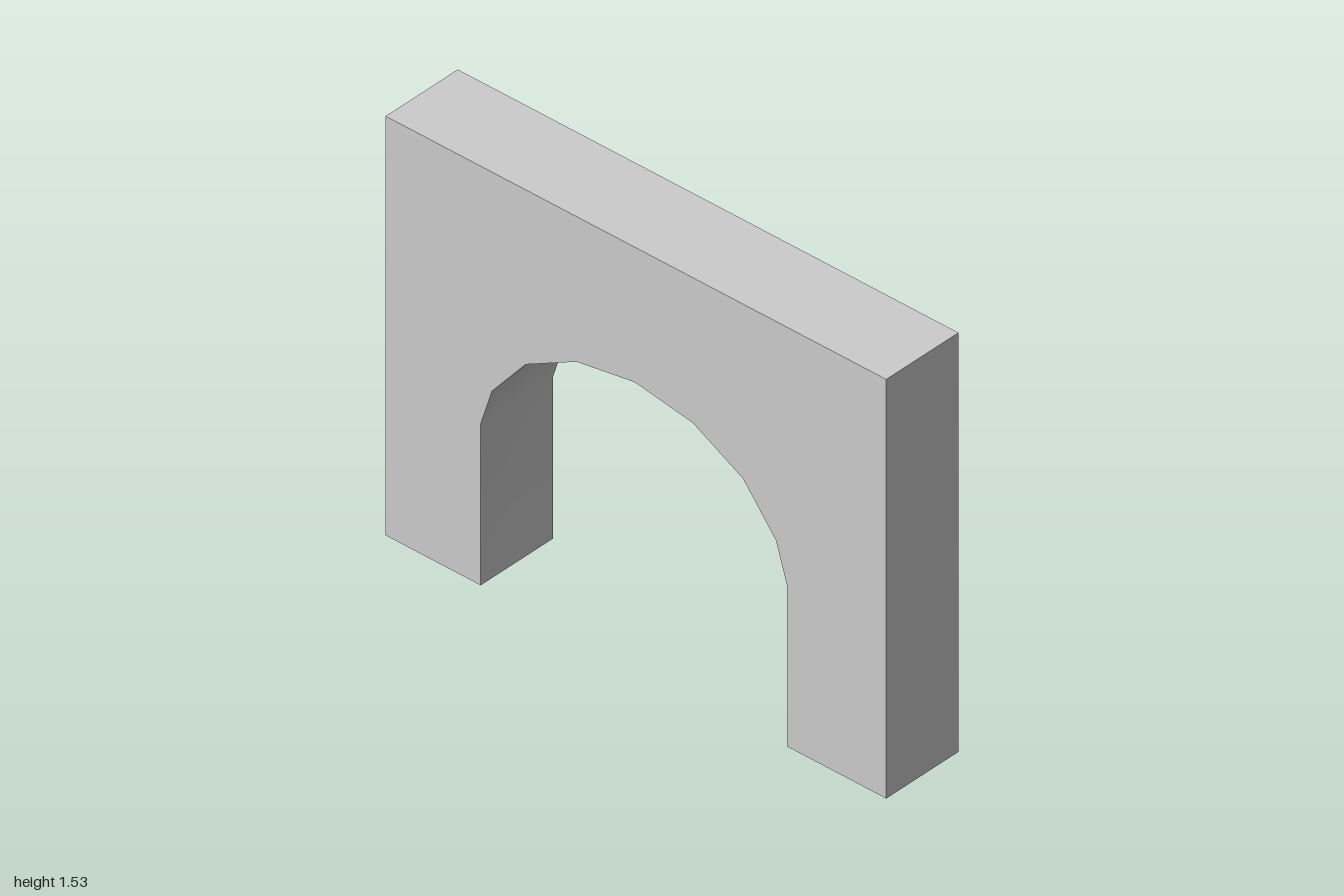
import * as THREE from 'three';
import { toCreasedNormals } from 'three/addons/utils/BufferGeometryUtils.js';

const HEIGHT = 1.53;
const DEPTH = 0.32;

export function createModel() {
  const group = new THREE.Group();
  group.name = 'archway';

  // Faceted arch opening, from the left foot over the crown to the right foot
  const opening = [
    [-0.62, 0], [-0.62, 0.59], [-0.575, 0.73], [-0.44, 0.893], [-0.237, 1.0],
    [-0.005, 1.037],
    [0.227, 1.0], [0.428, 0.893], [0.56, 0.73], [0.603, 0.59], [0.603, 0],
  ];

  // Wall outline: both piers, the opening between them and a flat top
  const outline = [[-1, 0], ...opening, [1, 0], [1, HEIGHT], [-1, HEIGHT]];
  const shape = new THREE.Shape(outline.map(([x, y]) => new THREE.Vector2(x, y)));

  const extruded = new THREE.ExtrudeGeometry(shape, { depth: DEPTH, bevelEnabled: false });
  extruded.translate(0, 0, -DEPTH / 2);

  // Smooth shading under the arch, sharp edges elsewhere
  const wall = new THREE.Mesh(
    toCreasedNormals(extruded, 0.7),
    new THREE.MeshStandardMaterial({ color: 0xcccccc }),
  );
  wall.name = 'archWall';
  group.add(wall);

  return group;
}
